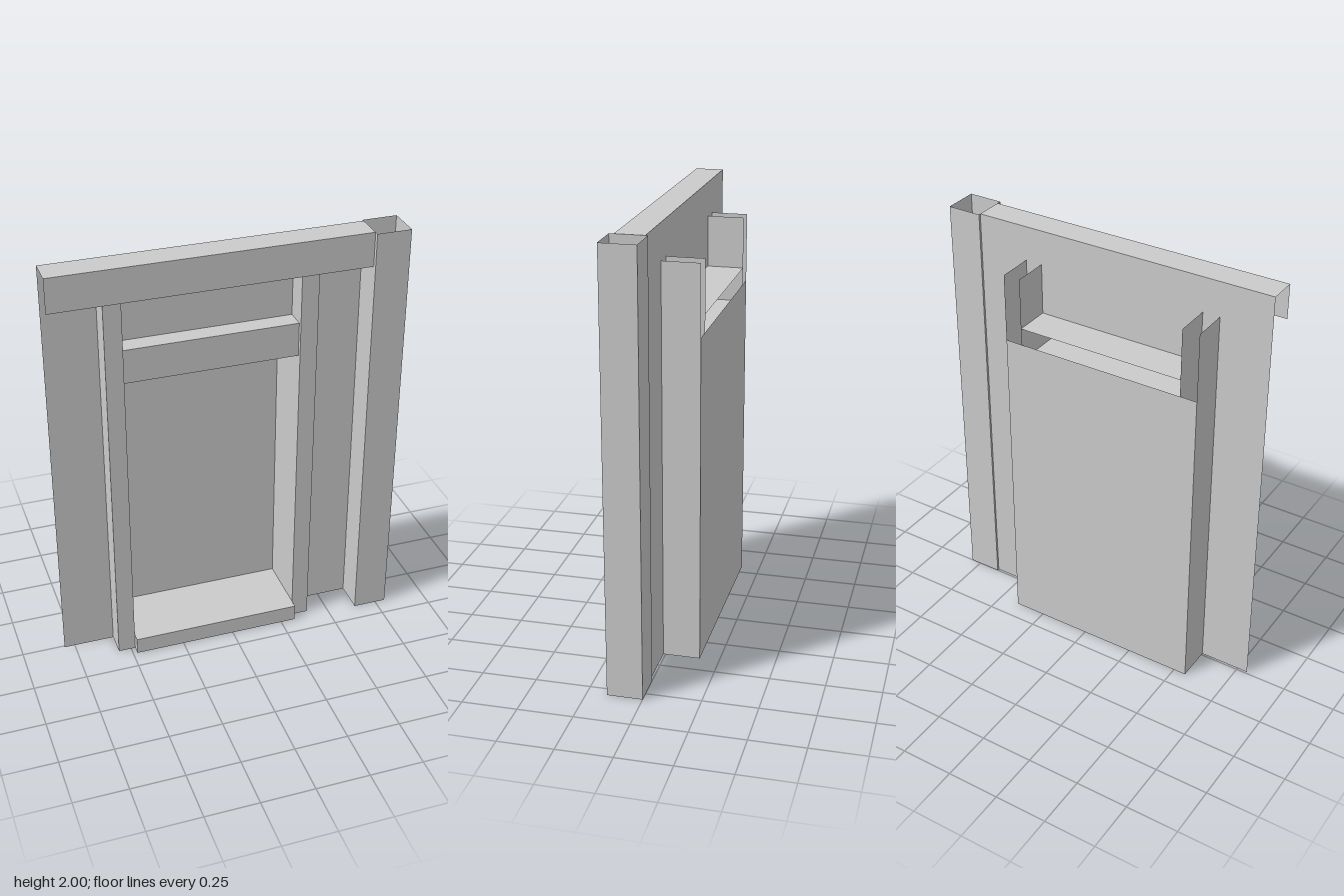
import * as THREE from 'three';
import { mergeGeometries } from 'three/addons/utils/BufferGeometryUtils.js';

const material = new THREE.MeshStandardMaterial({ color: 0xcccccc, side: THREE.DoubleSide });

// Hollow box between two corners, made of only the listed faces
function shell(name, [x0, y0, z0], [x1, y1, z1], faces) {
  const w = x1 - x0, h = y1 - y0, d = z1 - z0;
  const cx = (x0 + x1) / 2, cy = (y0 + y1) / 2, cz = (z0 + z1) / 2;
  const make = {
    front: () => new THREE.PlaneGeometry(w, h).translate(cx, cy, z1),
    back: () => new THREE.PlaneGeometry(w, h).rotateY(Math.PI).translate(cx, cy, z0),
    left: () => new THREE.PlaneGeometry(d, h).rotateY(Math.PI / 2).translate(x1, cy, cz),
    right: () => new THREE.PlaneGeometry(d, h).rotateY(-Math.PI / 2).translate(x0, cy, cz),
    top: () => new THREE.PlaneGeometry(w, d).rotateX(-Math.PI / 2).translate(cx, y1, cz),
    bottom: () => new THREE.PlaneGeometry(w, d).rotateX(Math.PI / 2).translate(cx, y0, cz),
  };
  const mesh = new THREE.Mesh(mergeGeometries(faces.map((f) => make[f]())), material);
  mesh.name = name;
  return mesh;
}

export function createModel() {
  const model = new THREE.Group();
  model.name = 'doorway';

  const wallZ = 0.01, backZ = -0.16;
  const openLeft = 0.32, openRight = -0.48, jambWidth = 0.08;

  // Thin wall with the door opening cut up from its foot
  const outline = new THREE.Shape([
    [-0.8, 0], [openRight, 0], [openRight, 1.6], [openLeft, 1.6],
    [openLeft, 0], [0.64, 0], [0.64, 2], [-0.8, 2],
  ].map(([x, y]) => new THREE.Vector2(x, y)));
  const wall = new THREE.Mesh(new THREE.ShapeGeometry(outline).translate(0, 0, wallZ), material);
  wall.name = 'wall';
  model.add(wall);

  // Corner pillar, an open-ended square tube
  model.add(shell('pillar', [0.64, 0, 0], [0.8, 2, 0.16], ['front', 'back', 'left', 'right']));

  // Beam across the top of the wall
  model.add(shell('topBeam', [-0.8, 1.84, wallZ], [0.64, 2, 0.14], ['front', 'top']));

  // Door jambs running through the wall
  for (const [name, x] of [['leftJamb', openLeft], ['rightJamb', openRight - jambWidth]]) {
    model.add(shell(name, [x, 0, backZ], [x + jambWidth, 1.84, 0.12], ['front', 'left', 'right']));
  }

  // Door head between the jambs
  model.add(shell('doorHead', [openRight, 1.44, backZ], [openLeft, 1.6, 0.1], ['front', 'top', 'bottom']));

  // Projecting threshold
  model.add(shell('threshold', [openRight, 0, backZ], [openLeft, 0.08, 0.16],
    ['front', 'top', 'bottom', 'left', 'right']));

  // Door panel closing the recess at the back
  model.add(shell('doorPanel', [openRight - jambWidth, 0, backZ], [openLeft + jambWidth, 1.52, backZ], ['back']));

  return model;
}
